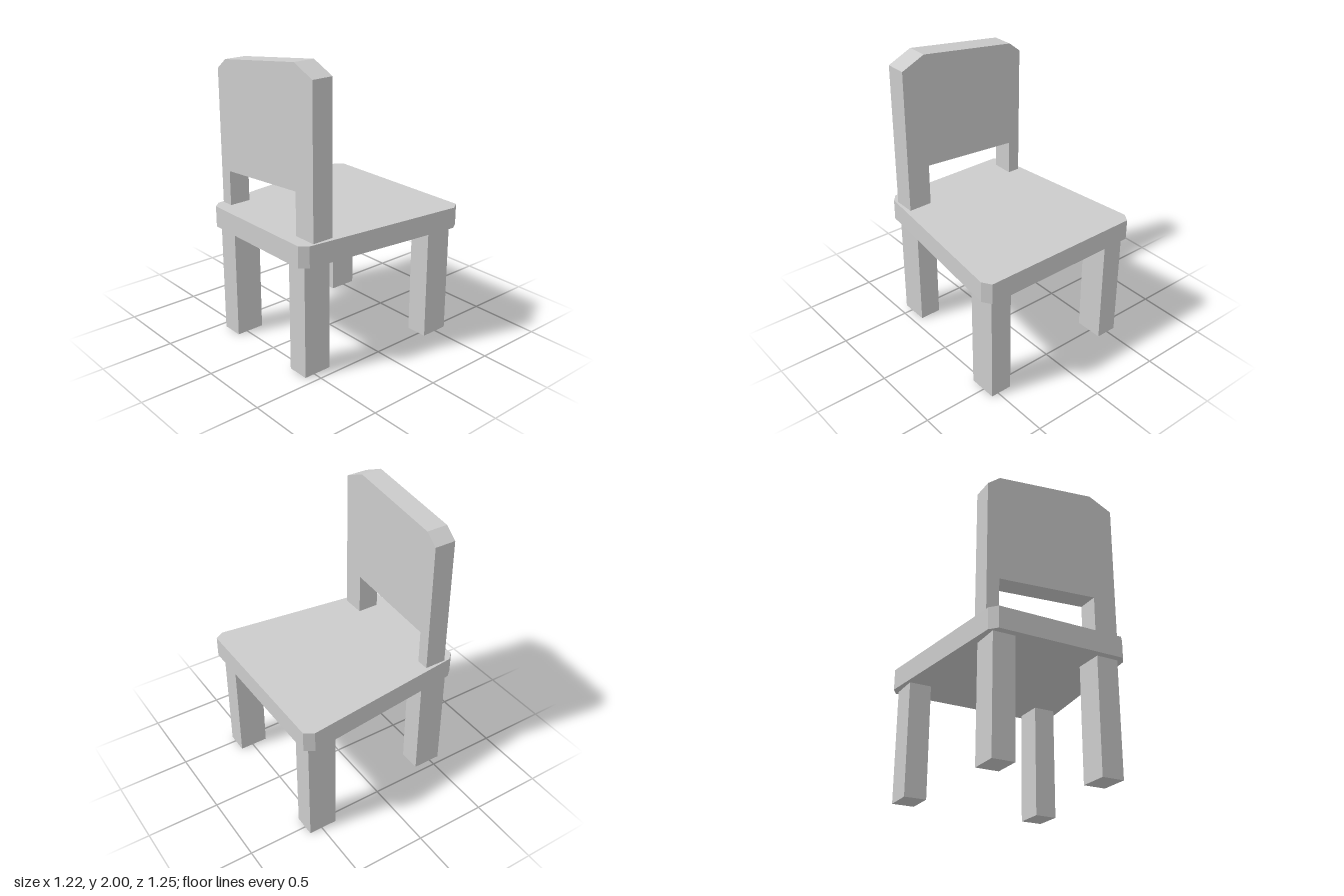
import * as THREE from 'three';

const material = new THREE.MeshStandardMaterial({ color: 0xcccccc, flatShading: true });

function slab(name, points, depth) {
  const shape = new THREE.Shape(points.map(([x, y]) => new THREE.Vector2(x, y)));
  const geometry = new THREE.ExtrudeGeometry(shape, { depth, bevelEnabled: false });
  const mesh = new THREE.Mesh(geometry, material);
  mesh.name = name;
  return mesh;
}

export function createModel() {
  const chair = new THREE.Group();
  chair.name = 'chair';

  const seatBottom = 0.78, seatTop = 0.925;

  // Tapered seat with clipped corners, outlined in (x, z) and mirrored
  const half = [[0.437, 0.622], [0.483, 0.57], [0.612, -0.565], [0.573, -0.627]];
  const outline = [...half, ...half.map(([x, z]) => [-x, z]).reverse()];
  const seat = slab('seat', outline.map(([x, z]) => [x, -z]), seatTop - seatBottom);
  seat.geometry.rotateX(-Math.PI / 2);
  seat.position.y = seatBottom;
  chair.add(seat);

  // Slanted backrest standing on two uneven posts
  const backrest = slab('backrest', [
    [-0.477, seatTop], [-0.39, seatTop], [-0.39, 1.165], [0.307, 1.215],
    [0.307, seatTop], [0.473, seatTop], [0.473, 1.925], [0.307, 2.0],
    [-0.39, 1.91], [-0.477, 1.84],
  ], 0.15);
  backrest.position.z = 0.382;
  chair.add(backrest);

  // Four legs, the pair under the backrest set closer together
  const legs = [
    ['frontRightLeg', -0.376, 0.473],
    ['frontLeftLeg', 0.359, 0.473],
    ['backRightLeg', -0.491, -0.49],
    ['backLeftLeg', 0.475, -0.49],
  ];
  for (const [name, x, z] of legs) {
    const leg = new THREE.Mesh(new THREE.BoxGeometry(0.152, seatBottom, 0.2), material);
    leg.name = name;
    leg.position.set(x, seatBottom / 2, z);
    chair.add(leg);
  }

  return chair;
}
